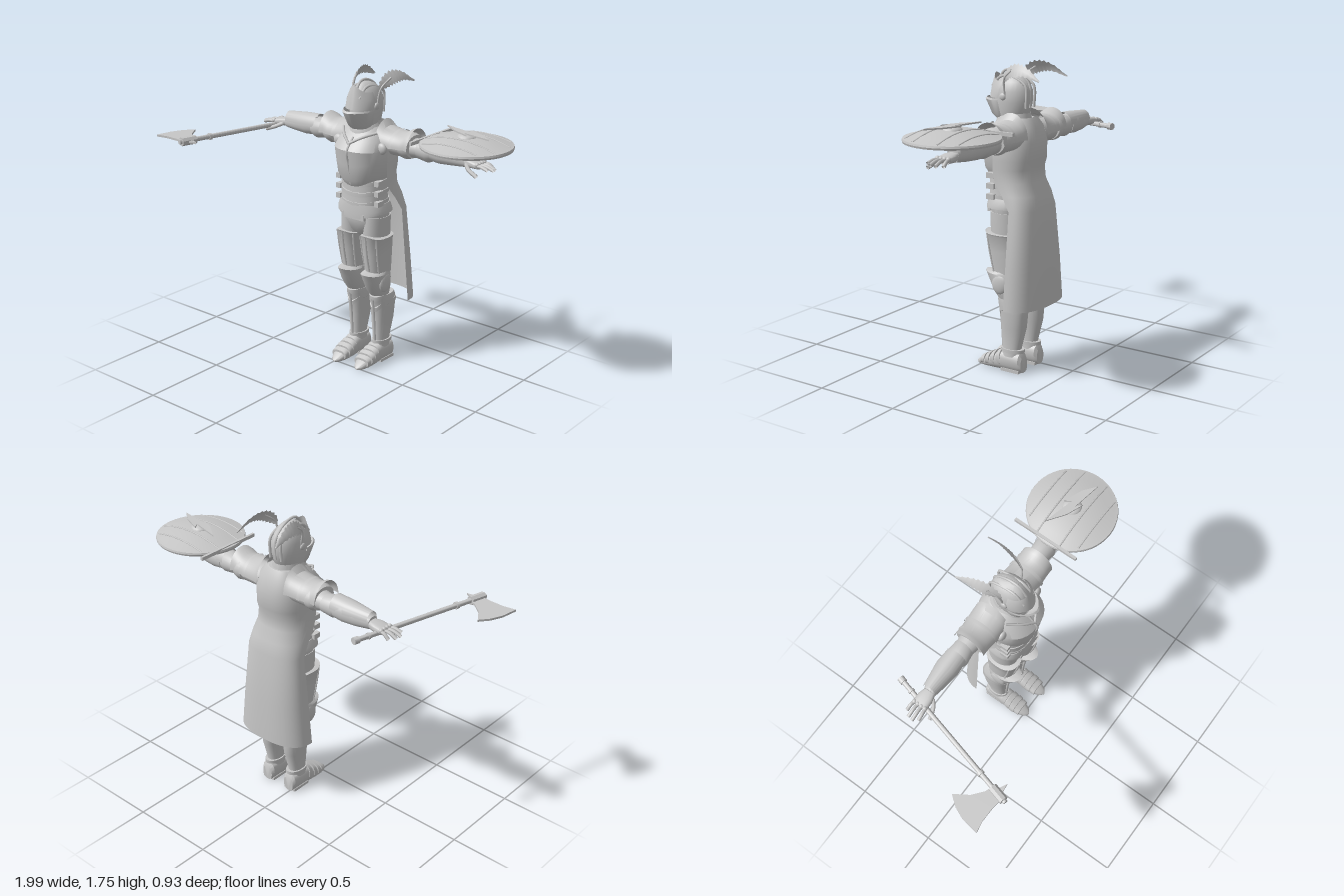
import * as THREE from 'three';
import { toCreasedNormals } from 'three/addons/utils/BufferGeometryUtils.js';

const steel = new THREE.MeshStandardMaterial({ color: 0xc6c6c6, side: THREE.DoubleSide });
steel.name = 'steel grey';
const V = (x, y, z) => new THREE.Vector3(x, y, z);

// Loft of rounded rings. Row: [height, half width, front z, back z, centre x, front drop]
function loft(rows, { p = 1, n = 24, from = 0, to = Math.PI * 2 } = {}) {
  const closed = to - from > 6.28, cols = closed ? n : n + 1, pos = [], idx = [];
  const pw = (v) => Math.sign(v) * Math.abs(v) ** p;
  for (const [y, rx, zf, zb, cx = 0, drop = 0] of rows)
    for (let j = 0; j < cols; j++) {
      const a = from + (to - from) * j / n, c = Math.cos(a);
      pos.push(cx + rx * pw(Math.sin(a)), y - drop * Math.max(0, c) ** 4, (zf + zb) / 2 + (zf - zb) / 2 * pw(c));
    }
  for (let r = 0; r < rows.length - 1; r++)
    for (let j = 0; j < n; j++) {
      const k = (j + 1) % cols, a = r * cols + j, b = r * cols + k;
      idx.push(a, b, b + cols, a, b + cols, a + cols);
    }
  if (closed) {
    const top = (rows.length - 1) * cols;
    for (let j = 1; j < n - 1; j++) idx.push(0, j + 1, j, top, top + j, top + j + 1);
  }
  const g = new THREE.BufferGeometry();
  g.setAttribute('position', new THREE.Float32BufferAttribute(pos, 3));
  g.setIndex(idx);
  return toCreasedNormals(g, 0.6);
}
const loftX = (rows, o) => loft(rows, o).rotateZ(-Math.PI / 2); // grows along +x, width becomes height
const loftZ = (rows, o) => loft(rows, o).rotateX(Math.PI / 2);  // grows along +z, depth becomes -height
const box = (w, h, d, x, y, z) => new THREE.BoxGeometry(w, h, d).translate(x, y, z);
const tube = (pts, r, seg = 20) => new THREE.TubeGeometry(new THREE.CatmullRomCurve3(pts), seg, r, 6);
const ball = (r, x, y, z, sx = 1, sy = 1, sz = 1) => new THREE.SphereGeometry(r, 16, 12).scale(sx, sy, sz).translate(x, y, z);

function add(parent, name, geo) {
  const m = new THREE.Mesh(geo, steel);
  m.name = name;
  parent.add(m);
  return m;
}
// Mirror in x, keeping the faces turned outward
function mirrored(geo) {
  const g = geo.index ? geo.toNonIndexed() : geo.clone();
  g.scale(-1, 1, 1);
  for (const at of Object.values(g.attributes))
    for (let i = 0; i < at.count; i += 3)
      for (let c = 0; c < at.itemSize; c++) {
        const t = at.getComponent(i + 1, c);
        at.setComponent(i + 1, c, at.getComponent(i + 2, c));
        at.setComponent(i + 2, c, t);
      }
  return g;
}
function pair(parent, name, geo) {
  add(parent, name + 'Left', geo);
  add(parent, name + 'Right', mirrored(geo));
}
// Flat plate in the xz plane with its upper face at y
function plate(points, y, depth) {
  const s = new THREE.Shape(points.map(([x, z]) => new THREE.Vector2(x, z)));
  return new THREE.ExtrudeGeometry(s, { depth, bevelEnabled: false }).rotateX(Math.PI / 2).translate(0, y, 0);
}

function feather() {
  const curve = new THREE.CatmullRomCurve3([V(.085, 1.58, -.15), V(.1, 1.66, -.16), V(.12, 1.71, -.22), V(.135, 1.715, -.3), V(.145, 1.67, -.41)]);
  const n = 28, pos = [], idx = [], lean = V(.85, .5, 0).normalize();
  for (let i = 0; i <= n; i++) {
    const t = i / n, c = curve.getPoint(t), across = curve.getTangent(t).cross(lean).normalize();
    const w = .004 + .04 * Math.sin(Math.PI * Math.max(0, (t - .2) / .8) ** .8) * (i % 2 ? 1 : .7);
    for (const s of [-1, 0, 1]) {
      const q = c.clone().addScaledVector(across, s * w).addScaledVector(lean, s ? -.006 : 0);
      pos.push(q.x, q.y, q.z);
    }
    if (i < n) for (const k of [0, 1]) {
      const a = i * 3 + k;
      idx.push(a, a + 3, a + 4, a, a + 4, a + 1);
    }
  }
  const g = new THREE.BufferGeometry();
  g.setAttribute('position', new THREE.Float32BufferAttribute(pos, 3));
  g.setIndex(idx);
  g.computeVertexNormals();
  return g;
}

function buildTorso(b) {
  add(b, 'breastplate', loft([[1.15, .14, -.03, -.28, 0, .045], [1.18, .152, -.008, -.295, 0, .04], [1.25, .162, .005, -.32, 0, .02],
    [1.32, .165, .018, -.325], [1.37, .15, -.02, -.315], [1.41, .125, -.06, -.3], [1.44, .09, -.09, -.27]], { p: .85, n: 32 }));
  add(b, 'breastRidge', tube([V(0, 1.12, -.022), V(0, 1.25, .006), V(0, 1.32, .018), V(0, 1.39, -.04)], .007));
  pair(b, 'chestTrim', tube([V(0, 1.36, .002), V(.06, 1.395, -.035), V(.12, 1.42, -.1)], .008));
  add(b, 'gorget', loft([[1.39, .12, -.055, -.28], [1.43, .09, -.06, -.26], [1.47, .07, -.08, -.24]]));
  add(b, 'abdomen', loft([[.98, .143, -.035, -.265], [1.05, .133, -.04, -.255], [1.18, .135, -.035, -.265]], { p: .85 }));
  for (const y of [1.01, 1.07, 1.13]) {
    add(b, 'waistBand', loft([[y - .012, .14, -.034, -.265, 0, .015], [y + .012, .14, -.034, -.265, 0, .015]], { p: .85 }));
    pair(b, 'buckle', box(.03, .03, .05, .138, y, -.1));
  }
  add(b, 'fauld', loft([[.945, .16, -.03, -.275, 0, .03], [.965, .158, -.03, -.275, 0, .02], [1.0, .143, -.035, -.265]], { p: .8 }));
  add(b, 'frontLappet', box(.16, .035, .02, 0, .925, -.045));
  add(b, 'hips', loft([[.79, .04, -.11, -.22], [.83, .11, -.075, -.25], [.89, .148, -.055, -.265], [.98, .145, -.05, -.265]], { p: .9 }));
  const cape = [[.4, .245, -.25, -.405], [.65, .22, -.25, -.395], [.95, .19, -.25, -.37], [1.03, .18, -.2, -.355], [1.1, .171, -.145, -.325],
    [1.17, .17, -.13, -.318], [1.22, .17, -.13, -.335], [1.32, .168, -.14, -.335], [1.4, .14, -.16, -.315], [1.45, .1, -.16, -.285]];
  add(b, 'cape', loft(cape.map(([y, w, e, z]) => [y, w, 2 * e - z, z]), { p: .8, n: 30, from: Math.PI / 2, to: Math.PI * 1.5 }));
}

function buildHead(b) {
  add(b, 'helmet', loft([[1.42, .066, -.07, -.22], [1.46, .076, -.05, -.25], [1.53, .084, -.045, -.268], [1.59, .083, -.045, -.27],
    [1.64, .066, -.062, -.25], [1.67, .042, -.085, -.215], [1.69, .01, -.12, -.165]]));
  add(b, 'neckGuard', loft([[1.42, .085, -.07, -.265], [1.47, .076, -.07, -.255]], { from: 1.6, to: 4.68 }));
  add(b, 'visor', loft([[1.435, .06, -.045, -.17], [1.46, .076, -.022, -.2, 0, .01], [1.535, .092, .022, -.22, 0, 0],
    [1.545, .09, .012, -.22]], { p: 1.15, from: -1.7, to: 1.7 }));
  add(b, 'browPlate', loft([[1.55, .089, -.012, -.21], [1.6, .088, -.025, -.22, 0, -.02], [1.64, .068, -.04, -.21, 0, -.04]],
    { p: 1.1, from: -1.6, to: 1.6 }));
  for (const x of [-.04, 0, .04]) {
    const h = x ? 1.665 : 1.695;
    add(b, 'helmetComb', tube([V(x, 1.61, -.042), V(x * .95, h, -.1), V(x * .95, h - .005, -.18), V(x, 1.62, -.258), V(x, 1.5, -.262)], .008));
  }
  pair(b, 'visorPivot', ball(.02, .086, 1.56, -.14, .5, 1, 1));
  pair(b, 'feather', feather());
  pair(b, 'featherQuill', tube([V(.08, 1.56, -.15), V(.1, 1.66, -.16), V(.12, 1.712, -.22)], .006));
}

function buildArms(b) {
  pair(b, 'upperArm', loftX([[.1, .07, -.13, -.3, -1.35], [.22, .065, -.14, -.295, -1.345], [.34, .05, -.165, -.275, -1.34], [.46, .045, -.17, -.27, -1.34]]));
  // Layered shoulder plates, open underneath
  const over = { from: Math.PI, to: Math.PI * 2 };
  pair(b, 'shoulderPlate', loftX([[.1, .14, -.1, -.315, -1.34], [.13, .1, -.1, -.315, -1.345], [.2, .085, -.105, -.31, -1.345],
    [.26, .085, -.11, -.305, -1.345], [.29, .1, -.11, -.305, -1.35], [.315, .112, -.11, -.305, -1.345]], over));
  pair(b, 'shoulderRim', loftX([[.195, .09, -.1, -.315, -1.345], [.215, .09, -.1, -.315, -1.345]], over));
  pair(b, 'shoulderBand', loftX([[.24, .07, -.125, -.305, -1.35], [.27, .075, -.12, -.31, -1.35], [.3, .065, -.13, -.3, -1.35]]));
  pair(b, 'shoulderRoundel', ball(.033, .155, 1.335, -.1, 1, 1, .6));
  pair(b, 'elbowCuff', loftX([[.33, .052, -.165, -.28, -1.34], [.4, .062, -.155, -.285, -1.34], [.43, .05, -.165, -.28, -1.34]]));
  pair(b, 'bracer', loftX([[.42, .052, -.165, -.285, -1.345], [.48, .058, -.16, -.29, -1.345], [.56, .048, -.17, -.28, -1.34],
    [.645, .035, -.185, -.255, -1.335]], { p: .85 }));
  pair(b, 'bracerFlange', loftX([[.4, .068, -.16, -.285, -1.35], [.5, .063, -.16, -.288, -1.35], [.64, .055, -.18, -.265, -1.345]], over));
  pair(b, 'palm', loftX([[.63, .022, -.19, -.25, -1.333], [.68, .024, -.175, -.265, -1.33], [.735, .018, -.175, -.265, -1.325]], { p: .7 }));
  for (let i = 0; i < 4; i++) {
    const z = -.185 - i * .023, len = [.075, .095, .088, .06][i];
    pair(b, 'finger', tube([V(.725, 1.327, z), V(.725 + len * .5, 1.328, z - (i - 1.5) * .004), V(.725 + len, 1.318 - i * .004, z - (i - 1.5) * .006)], .0105, 8));
    pair(b, 'knuckle', ball(.014, .73, 1.333, z));
  }
  pair(b, 'thumb', tube([V(.66, 1.325, -.185), V(.7, 1.305, -.155), V(.755, 1.285, -.14)], .012, 8));
}

function buildLegs(b) {
  const c = .085;
  pair(b, 'thigh', loft([[.56, .055, -.11, -.245, c], [.75, .068, -.07, -.25, c - .005], [.92, .07, -.065, -.255, c - .005]]));
  pair(b, 'thighPlate', loft([[.57, .061, -.09, -.255, c], [.7, .07, -.065, -.258, c], [.79, .075, -.048, -.256, c + .003, -.015],
    [.8, .079, -.043, -.258, c + .004, -.015]], { p: .85 }));
  pair(b, 'thighRidge', tube([V(c, .59, -.088), V(c, .7, -.062), V(c, .81, -.045)], .007));
  for (const x of [-.055, .055]) pair(b, 'thighTrim', tube([V(c + x * .9, .58, -.115), V(c + x, .7, -.09), V(c + x * 1.05, .8, -.075)], .006));
  pair(b, 'kneeCup', loft([[.43, .055, -.12, -.25, c], [.47, .066, -.09, -.255, c], [.53, .072, -.06, -.258, c], [.57, .07, -.036, -.255, c, -.01],
    [.585, .06, -.075, -.25, c]], { p: 1.05 }));
  pair(b, 'kneeWing', ball(.05, c + .06, .515, -.16, .35, 1.15, 1));
  pair(b, 'shin', loft([[.09, .045, -.145, -.265, c], [.14, .04, -.15, -.265, c], [.26, .053, -.142, -.295, c], [.35, .06, -.138, -.303, c],
    [.41, .062, -.125, -.3, c, .03], [.43, .058, -.12, -.29, c, .01]], { p: .9 }));
  pair(b, 'shinRidge', tube([V(c, .13, -.147), V(c, .26, -.138), V(c, .4, -.122)], .008));
  pair(b, 'shinCuff', loft([[.37, .064, -.135, -.308, c, .05], [.395, .064, -.13, -.308, c, .05]], { p: .9 }));
  pair(b, 'ankleRing', loft([[.115, .049, -.138, -.285, c], [.135, .049, -.138, -.285, c]]));
  // Armoured shoe with overlapping plates
  pair(b, 'shoe', loftZ([[-.285, .035, 0, -.09, c], [-.27, .046, 0, -.115, c], [-.16, .048, 0, -.115, c], [-.1, .055, 0, -.092, c],
    [-.04, .05, 0, -.062, c], [.01, .028, 0, -.032, c], [.028, .006, -.006, -.016, c]], { p: .8 }));
  [[-.15, .053, .118], [-.115, .057, .104], [-.08, .058, .088], [-.045, .053, .07]].forEach(([z, w, h]) =>
    pair(b, 'shoePlate', loftZ([[z, w, -.01, -h - .005, c], [z + .025, w - .002, -.01, -h + .007, c]], { p: .8 })));
  pair(b, 'sole', box(.085, .018, .12, c, .009, -.215));
}

function buildShield() {
  const s = new THREE.Group(), R = .253;
  s.name = 'shield';
  s.position.set(.738, 1.41, -.212);
  const dome = (r) => .018 + .045 * (1 - (r / R) ** 2);
  const prof = [[0, .045], [.13, .034], [.24, .004], [R, 0], [R + .003, .01], [R, .02], [.235, .024], [.18, dome(.18)], [.1, dome(.1)], [0, dome(0)]];
  add(s, 'shieldDisc', toCreasedNormals(new THREE.LatheGeometry(prof.map((q) => new THREE.Vector2(...q)), 48), .5));
  add(s, 'shieldBoss', ball(.055, 0, .055, 0, 1, .45, 1));
  for (const z of [-.165, -.075, .075, .165]) {
    const h = Math.sqrt(.24 * .24 - z * z);
    add(s, 'plankSeam', tube([-1, -.5, 0, .5, 1].map((t) => V(t * h, dome(Math.hypot(t * h, z)), z)), .005));
  }
  // Zigzag ridge standing over the boss
  add(s, 'zigzagRidge', plate([[-.17, -.06], [.01, -.015], [-.01, -.05], [.1, -.005], [.17, .05], [-.005, .02], [.03, .05], [-.07, .01]], .083, .008));
  add(s, 'edgeBar', box(.016, .02, .41, -.233, .018, -.012));
  add(s, 'grip', box(.12, .014, .03, 0, -.018, 0));
  for (const x of [-.05, .05]) add(s, 'gripPost', box(.015, .06, .03, x, .008, 0));
  return s;
}

function buildAxe() {
  const a = new THREE.Group(), start = V(-.57, 1.312, -.4), end = V(-.785, 1.306, .455);
  a.name = 'axe';
  const dir = end.clone().sub(start), turn = new THREE.Quaternion().setFromUnitVectors(V(0, 1, 0), dir.clone().normalize());
  // Pieces of the handle: start and end along it, radius
  [['shaft', 0, 1, .014], ['pommel', 0, .035, .02], ['gripRing', .1, .115, .018], ['collar', .76, .78, .02], ['headSocket', .88, .985, .026]].forEach(([name, f, t, r]) => {
    const m = add(a, name, toCreasedNormals(new THREE.CylinderGeometry(r, r, (t - f) * dir.length(), name === 'headSocket' ? 8 : 14), .6));
    m.position.copy(start).addScaledVector(dir, (f + t) / 2);
    m.quaternion.copy(turn);
  });
  add(a, 'blade', plate([[-.76, .35], [-.8, .335], [-.86, .285], [-.912, .205], [-.955, .26], [-.985, .33], [-1, .43], [-.93, .418], [-.85, .42], [-.775, .43]], 1.308, .012));
  add(a, 'backSpike', plate([[-.77, .37], [-.7, .405], [-.775, .415]], 1.31, .012));
  return a;
}

export function createModel() {
  const model = new THREE.Group(), body = new THREE.Group();
  model.name = 'armouredKnight';
  body.name = 'body';
  body.position.x = .097;
  for (const build of [buildTorso, buildHead, buildArms, buildLegs]) build(body);
  model.add(body, buildShield(), buildAxe());
  return model;
}
